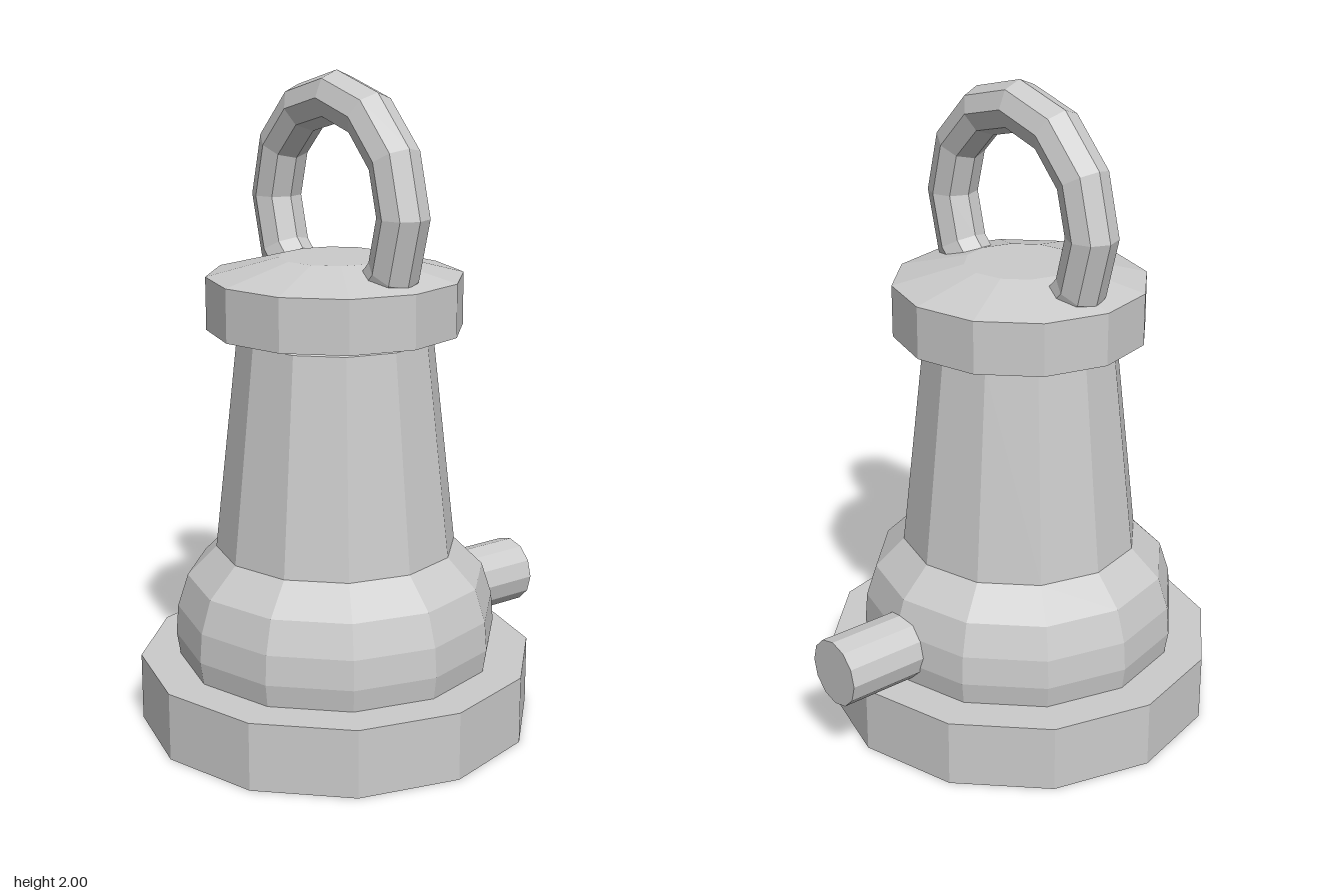
import * as THREE from 'three';

const AXIS_X = -0.058; // the body stands off centre, balancing the spout
const SIDES = 12;

export function createModel() {
  const model = new THREE.Group();
  model.name = 'pump';
  const material = new THREE.MeshStandardMaterial({ color: 0xcccccc, flatShading: true });

  const add = (name, geometry, x, y, z = 0) => {
    const mesh = new THREE.Mesh(geometry, material);
    mesh.name = name;
    mesh.position.set(x, y, z);
    model.add(mesh);
    return mesh;
  };
  // Turned part from [radius, height] pairs, listed bottom to top
  const turned = (name, profile) =>
    add(name, new THREE.LatheGeometry(profile.map(([r, y]) => new THREE.Vector2(r, y)), SIDES), AXIS_X, 0);

  // Flat foot
  turned('base', [[0, 0], [0.61, 0], [0.61, 0.21], [0, 0.21]]);

  // Rounded housing above the foot
  turned('housing', [[0.488, 0.21], [0.499, 0.28], [0.492, 0.37], [0.46, 0.47], [0.37, 0.56]]);

  // Tapered column with a chamfered top
  turned('column', [[0.37, 0.56], [0.297, 1.215], [0.25, 1.245]]);

  // Cap with a sloped rim and flat top
  turned('cap', [[0, 1.24], [0.387, 1.24], [0.387, 1.4], [0.17, 1.455], [0, 1.455]]);

  // Carrying ring, ends sunk into the cap
  const ring = new THREE.TorusGeometry(0.318, 0.077, 8, 10, Math.PI * 10 / 6);
  ring.rotateZ(-Math.PI / 3).rotateY(Math.PI / 2);
  add('handle', ring, -0.052, 1.605);

  // Outlet pipe on the left side
  const pipe = new THREE.CylinderGeometry(0.105, 0.105, 0.365, 12);
  pipe.rotateZ(-Math.PI / 2);
  add('spout', pipe, 0.4825, 0.315);

  return model;
}
